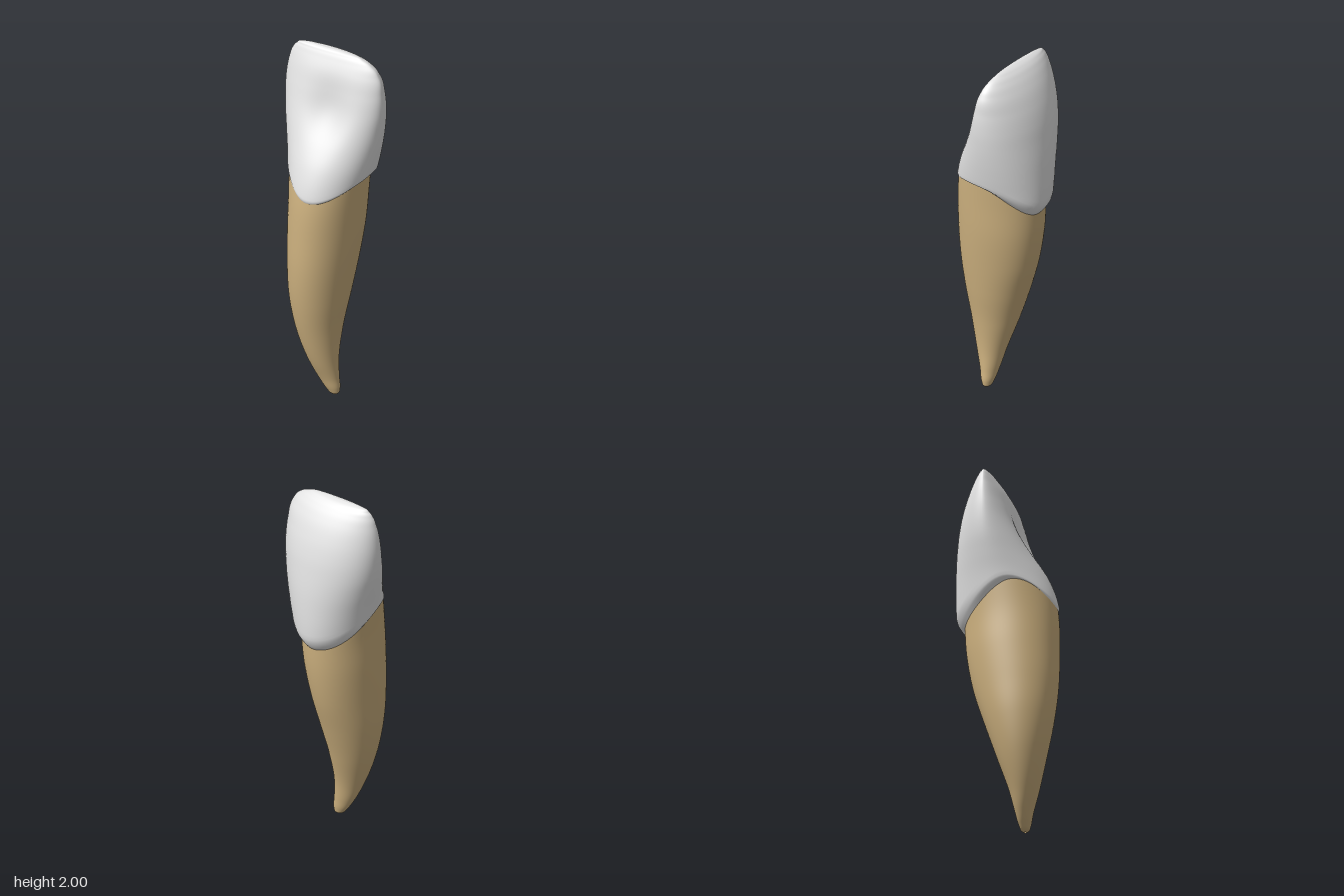
import * as THREE from 'three';

const SEG = 72;
const COS = Math.cos(0.506), SIN = Math.sin(0.506); // turn of the whole tooth about y

// Section tables: y, u min, u max, inner n, outer n, n of the widest line
// (u runs along the biting edge, n points to the outer face)
const ROOT = [
  [0, 0.036, 0.052, -0.094, -0.083, -0.087],
  [0.01, 0.018, 0.067, -0.108, -0.068, -0.088],
  [0.03, 0, 0.073, -0.118, -0.06, -0.088],
  [0.1, -0.046, 0.071, -0.141, -0.046, -0.094],
  [0.2, -0.093, 0.068, -0.178, -0.027, -0.103],
  [0.4, -0.163, 0.083, -0.233, 0.034, -0.099],
  [0.6, -0.2, 0.115, -0.273, 0.1, -0.086],
  [0.8, -0.212, 0.143, -0.294, 0.163, -0.069],
  [1.0, -0.217, 0.166, -0.296, 0.202, -0.049],
  [1.2, -0.216, 0.18, -0.288, 0.217, -0.04],
  [1.4, -0.228, 0.195, -0.258, 0.22, -0.02],
];
const CROWN = [
  [1.1, -0.22, 0.182, -0.298, 0.252, -0.03],
  [1.2, -0.226, 0.194, -0.297, 0.26, -0.02],
  [1.3, -0.238, 0.21, -0.278, 0.264, -0.003],
  [1.4, -0.255, 0.231, -0.244, 0.262, 0.01],
  [1.5, -0.277, 0.249, -0.2, 0.256, 0.02],
  [1.6, -0.297, 0.262, -0.156, 0.244, 0.028],
  [1.7, -0.307, 0.269, -0.112, 0.227, 0.03],
  [1.8, -0.306, 0.265, -0.072, 0.198, 0.03],
  [1.9, -0.291, 0.243, -0.03, 0.152, 0.033],
  [1.95, -0.275, 0.203, -0.002, 0.118, 0.036],
  [1.98, -0.252, 0.143, 0.016, 0.09, 0.04],
  [1.995, -0.222, 0.075, 0.028, 0.067, 0.043],
  [2, -0.175, 0, 0.037, 0.054, 0.045],
];

// Smooth cubic lookup of a section at height y
function sample(table, y) {
  let i = 0;
  while (i < table.length - 2 && y > table[i + 1][0]) i++;
  const a = table[i], b = table[i + 1], h = b[0] - a[0];
  const t = THREE.MathUtils.clamp((y - a[0]) / h, 0, 1);
  const p = table[i - 1] ?? a, q = table[i + 2] ?? b;
  return a.map((v, k) => {
    // slope at each end: neighbouring slopes weighted by distance
    const slope = (b[k] - v) / h;
    const hp = a[0] - p[0], hq = q[0] - b[0];
    const m0 = hp ? (slope * hp + ((v - p[k]) / hp) * h) / (h + hp) : slope;
    const m1 = hq ? (slope * hq + ((q[k] - b[k]) / hq) * h) / (h + hq) : slope;
    const t2 = t * t, t3 = t2 * t;
    return (2 * t3 - 3 * t2 + 1) * v + (t3 - 2 * t2 + t) * h * m0
      + (3 * t2 - 2 * t3) * b[k] + (t3 - t2) * h * m1;
  });
}

// Wavy neck line: high at both sides, lowest on the outer face
function neckLine(angle) {
  const c = Math.cos(angle);
  const s = Math.sin(angle - 0.4 * Math.max(0, -c)); // one peak sits further in
  return 1.335 - 0.015 * c - s * s * (s > 0 ? 0.185 : 0.1);
}

// Point on a section
function sectionPoint(table, y, angle) {
  const [, u0, u1, inner, outer, mid] = sample(table, y);
  const s = Math.sin(angle);
  const u = (u0 + u1) / 2 + ((u1 - u0) / 2) * Math.cos(angle);
  return [u, mid + (s > 0 ? outer - mid : mid - inner) * s];
}

// Skin a closed tube of rows; point(t, angle) gives [u, y, n]
function loft(rows, point, capTop) {
  const pos = [], index = [];
  const add = ([u, y, n]) => pos.push(COS * u + SIN * n, y, SIN * u - COS * n);
  for (const t of rows) {
    for (let j = 0; j < SEG; j++) add(point(t, (j / SEG) * Math.PI * 2));
  }
  for (let i = 0; i < rows.length - 1; i++) {
    for (let j = 0; j < SEG; j++) {
      const k = (j + 1) % SEG, a = i * SEG, b = a + SEG;
      index.push(a + j, a + k, b + k, a + j, b + k, b + j);
    }
  }
  if (capTop) {
    const a = (rows.length - 1) * SEG;
    for (let j = 1; j < SEG / 2; j++) {
      // strip between the two long sides of the narrow top
      index.push(a + j - 1, a + j, a + SEG - j);
      if (j > 1) index.push(a + j - 1, a + SEG - j, a + SEG - j + 1);
    }
    index.push(a + SEG / 2 - 1, a + SEG / 2, a + SEG / 2 + 1);
  }
  const geometry = new THREE.BufferGeometry();
  geometry.setAttribute('position', new THREE.Float32BufferAttribute(pos, 3));
  geometry.setIndex(index);
  geometry.computeVertexNormals();
  return geometry;
}

export function createModel() {
  const enamel = new THREE.MeshStandardMaterial({ name: 'enamel', color: 0xe2e2e2, side: THREE.DoubleSide });
  const dentine = new THREE.MeshStandardMaterial({ name: 'dentine', color: 0xcdb17f, side: THREE.DoubleSide });

  // Root: tapers and curves down to the blunt tip
  const rootRows = Array.from({ length: 61 }, (_, i) => (i / 60) ** 1.5);
  const root = new THREE.Mesh(loft(rootRows, (t, angle) => {
    const y = t * (neckLine(angle) + 0.002);
    const [u, n] = sectionPoint(ROOT, y, angle);
    return [u, y, n];
  }), dentine);
  root.name = 'root';

  // Crown: rolls out from the root, hollow inner face, thin biting edge
  const crownRows = [0, 0.004, 0.01, 0.018, 0.03];
  for (let i = 1; i <= 56; i++) crownRows.push(1 - 0.97 * (1 - i / 56) ** 1.8);
  const crown = new THREE.Mesh(loft(crownRows, (t, angle) => {
    const neck = neckLine(angle), y = neck + (2 - neck) * t;
    const face = Math.max(0, Math.sin(angle)) ** 2;
    const roll = Math.max(0, 1 - t / (0.03 + 0.07 * face)) ** 2;
    const [ru, rn] = sectionPoint(ROOT, y, angle);
    const [cu, cn] = sectionPoint(CROWN, y, angle);
    const u = THREE.MathUtils.lerp(cu, ru, roll);
    let n = THREE.MathUtils.lerp(cn, rn, roll);
    if (Math.sin(angle) < 0) {
      n += 0.045 * Math.exp(-((u / 0.12) ** 2) - ((y - 1.68) / 0.16) ** 2);
    }
    return [u, y, n];
  }, true), enamel);
  crown.name = 'crown';

  const tooth = new THREE.Group();
  tooth.name = 'tooth';
  tooth.add(root, crown);
  return tooth;
}
